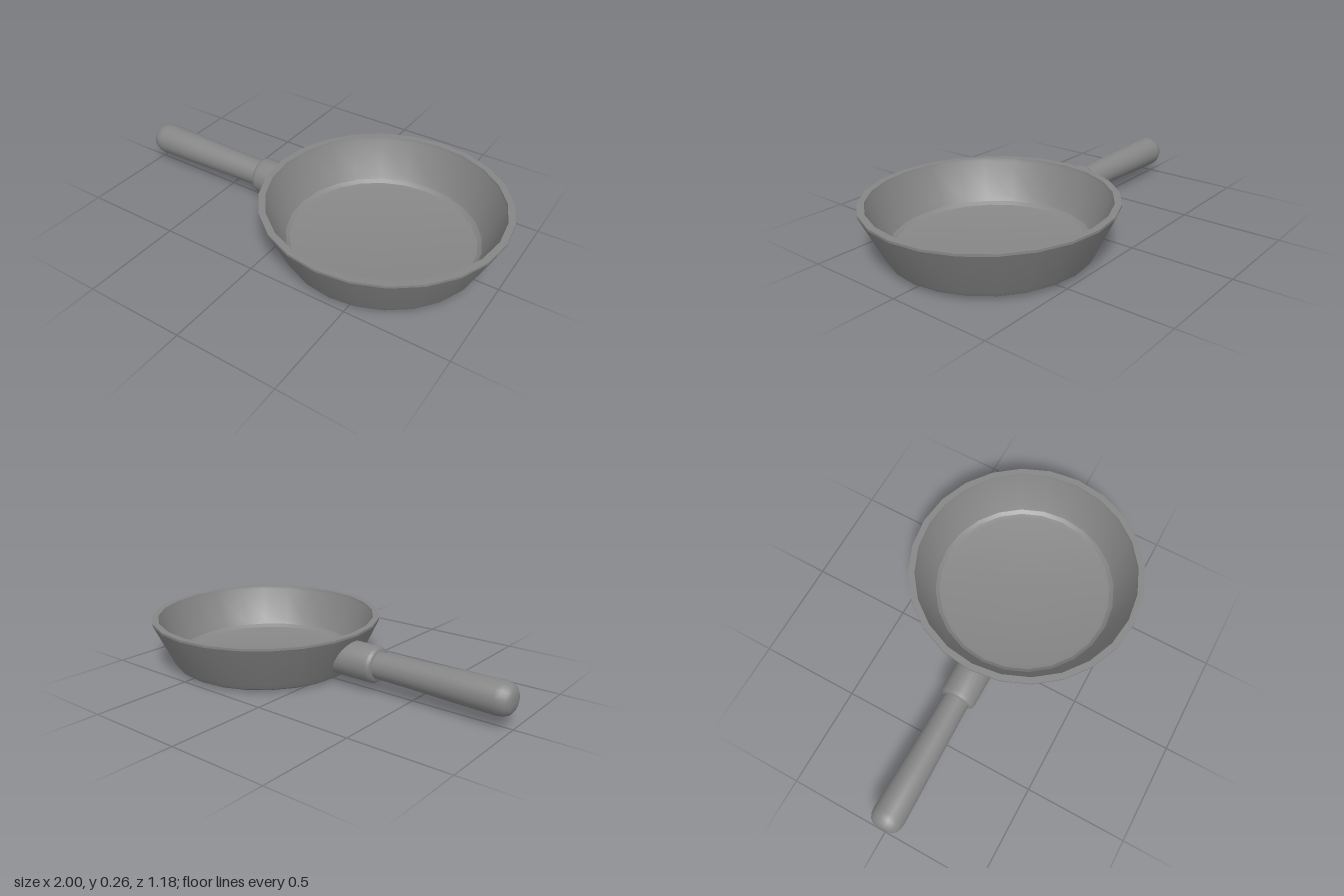
import * as THREE from 'three';
import { toCreasedNormals } from 'three/addons/utils/BufferGeometryUtils.js';

const PAN_X = 0.41, HANDLE_Y = 0.13;

// Spin a profile of [radius, height] pairs, keeping hard edges sharp
function turned(profile, sides, crease = 0.75) {
  const points = profile.map(([r, h]) => new THREE.Vector2(r, h));
  return toCreasedNormals(new THREE.LatheGeometry(points, sides), crease);
}

export function createModel() {
  const model = new THREE.Group();
  const material = new THREE.MeshStandardMaterial({ color: 0x868686 });

  function add(name, geometry, x, y) {
    const mesh = new THREE.Mesh(geometry, material);
    mesh.name = name;
    mesh.position.set(x, y, 0);
    model.add(mesh);
  }

  // Pan: base, flared wall, upright rim band, then back down to the cooking floor
  add('pan', turned([
    [0, 0], [0.43, 0], [0.455, 0.005], [0.477, 0.018], [0.492, 0.042],
    [0.586, 0.242], [0.588, 0.246], [0.588, 0.257],
    [0.556, 0.257], [0.552, 0.24],
    [0.478, 0.08], [0.464, 0.055], [0.445, 0.041], [0.42, 0.035], [0, 0.035],
  ], 24, 0.4), PAN_X, 0);

  // Collar: its inner end is slanted to follow the flared wall
  const collar = turned([
    [0, 0.11], [0.09, 0.11], [0.09, 0.287], [0.086, 0.302], [0.075, 0.31], [0, 0.31],
  ], 24).rotateZ(Math.PI / 2);
  const p = collar.attributes.position;
  for (let i = 0; i < p.count; i++) {
    if (p.getX(i) > -0.12) p.setX(i, p.getX(i) - 0.5 * p.getY(i));
  }
  add('handleCollar', collar, 0, HANDLE_Y);

  // Grip: swells slightly toward a rounded tip
  add('handleGrip', turned([
    [0, 0.29], [0.065, 0.29], [0.069, 0.5], [0.075, 0.72], [0.08, 0.932],
    [0.077, 0.958], [0.067, 0.981], [0.049, 0.995], [0.025, 1], [0, 1],
  ], 24).rotateZ(Math.PI / 2), 0, HANDLE_Y);

  return model;
}
